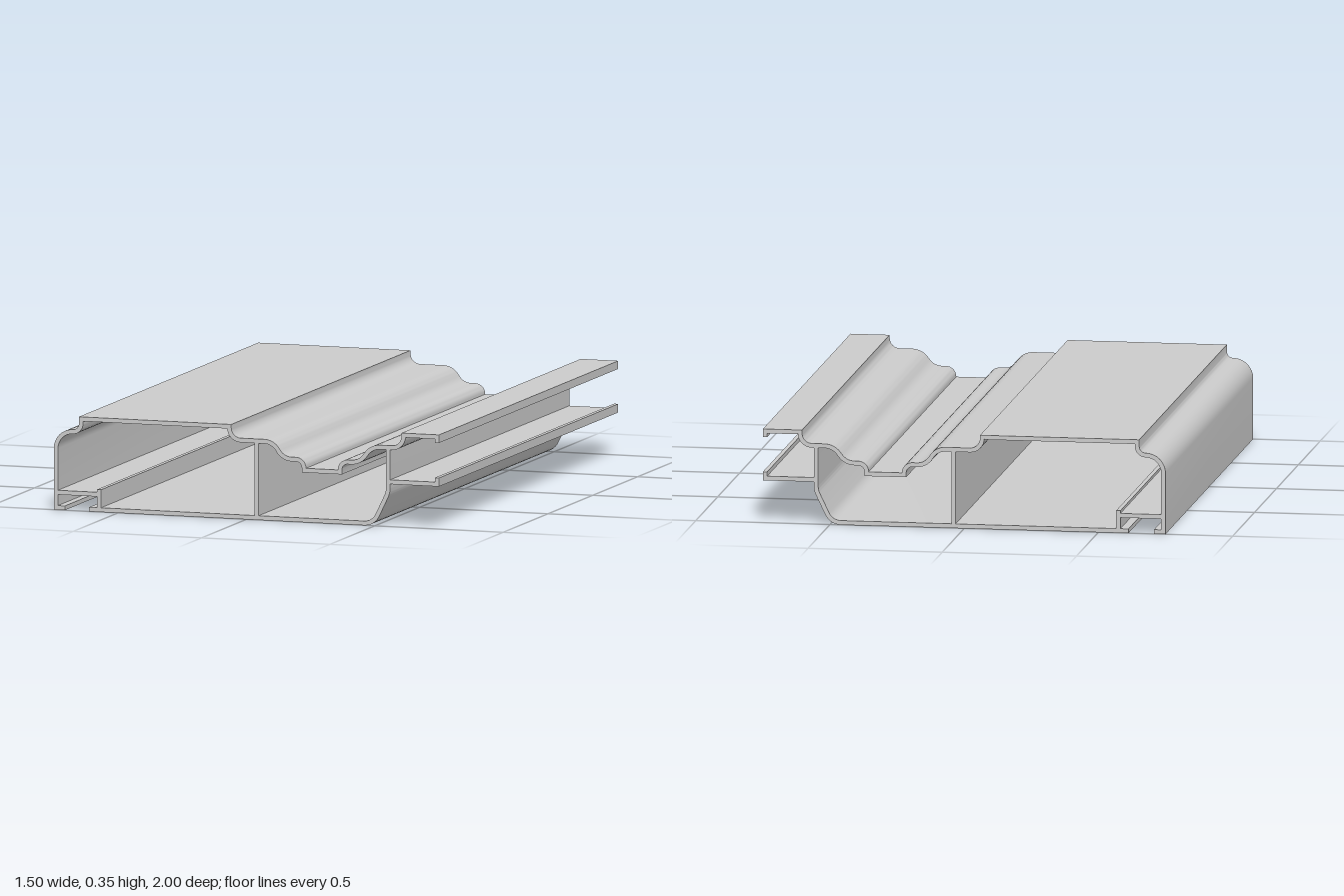
import * as THREE from 'three';
import { toCreasedNormals } from 'three/addons/utils/BufferGeometryUtils.js';

const WALL = 0.016;
const LENGTH = 2;
const material = new THREE.MeshStandardMaterial({ color: 0xcccccc });

// Rounds the corners of a polyline; each corner is [x, y, radius]
function filletPath(corners) {
  const pts = corners.map(([x, y]) => new THREE.Vector2(x, y));
  const out = [];
  corners.forEach(([, , r], i) => {
    const c = pts[i];
    if (!r) { out.push(c); return; }
    const a = pts[i - 1].clone().sub(c).normalize();
    const b = pts[i + 1].clone().sub(c).normalize();
    const half = (Math.PI - Math.acos(a.dot(b))) / 2;
    const d = r * Math.tan(half), w = Math.cos(half), n = 8;
    const p = c.clone().addScaledVector(a, d), q = c.clone().addScaledVector(b, d);
    for (let k = 0; k <= n; k++) {
      const t = k / n, u = (1 - t) ** 2, v = 2 * w * t * (1 - t), s = t * t;
      out.push(p.clone().multiplyScalar(u).addScaledVector(c, v).addScaledVector(q, s)
        .divideScalar(u + v + s));
    }
  });
  return out;
}

// Thickens a centre line into a closed outline with mitred corners
function thicken(line) {
  const left = [], right = [];
  line.forEach((p, i) => {
    const prev = line[i - 1], next = line[i + 1];
    const d0 = prev ? p.clone().sub(prev).normalize() : next.clone().sub(p).normalize();
    const d1 = next ? next.clone().sub(p).normalize() : d0;
    const n0 = new THREE.Vector2(-d0.y, d0.x), n1 = new THREE.Vector2(-d1.y, d1.x);
    const m = n0.clone().add(n1).normalize();
    const offset = WALL / 2 / m.dot(n0);
    left.push(p.clone().addScaledVector(m, offset));
    right.unshift(p.clone().addScaledVector(m, -offset));
  });
  return new THREE.Shape([...left, ...right]);
}

// Extrudes one wall along the whole length
function wall(name, corners) {
  const geo = new THREE.ExtrudeGeometry(thicken(filletPath(corners)), {
    depth: LENGTH, bevelEnabled: false,
  });
  geo.translate(0, 0, -LENGTH / 2);
  const mesh = new THREE.Mesh(toCreasedNormals(geo, 0.6), material);
  mesh.name = name;
  return mesh;
}

export function createModel() {
  const group = new THREE.Group();
  group.name = 'extrudedProfile';
  group.add(
    // Left side and moulded top face, from lower left lip to upper right lip
    wall('outerSkin', [
      [-0.707, 0.008], [-0.742, 0.008], [-0.742, 0.293, 0.065], [-0.644, 0.293, 0.032],
      [-0.644, 0.342], [-0.067, 0.342], [-0.067, 0.293, 0.045],
      [0.103, 0.293, 0.06], [0.143, 0.232, 0.06], [0.224, 0.232, 0.03],
      [0.224, 0.193], [0.364, 0.193], [0.364, 0.232, 0.03],
      [0.442, 0.232, 0.065], [0.487, 0.293, 0.065], [0.612, 0.293, 0.045],
      [0.612, 0.342], [0.742, 0.342], [0.742, 0.32],
    ]),
    // Flat underside sweeping up into the right side
    wall('bottomPlate', [
      [-0.612, 0.008], [0.495, 0.008, 0.057], [0.552, 0.127, 0.073], [0.552, 0.285],
    ]),
    wall('rightFlange', [[0.56, 0.166], [0.742, 0.166], [0.742, 0.19]]),
    wall('centreWeb', [[0.04, 0.016], [0.04, 0.285]]),
    // Open slot at the lower left
    wall('slotShelf', [[-0.734, 0.065], [-0.582, 0.065]]),
    wall('slotPost', [[-0.574, 0.016], [-0.574, 0.083]]),
  );
  return group;
}
